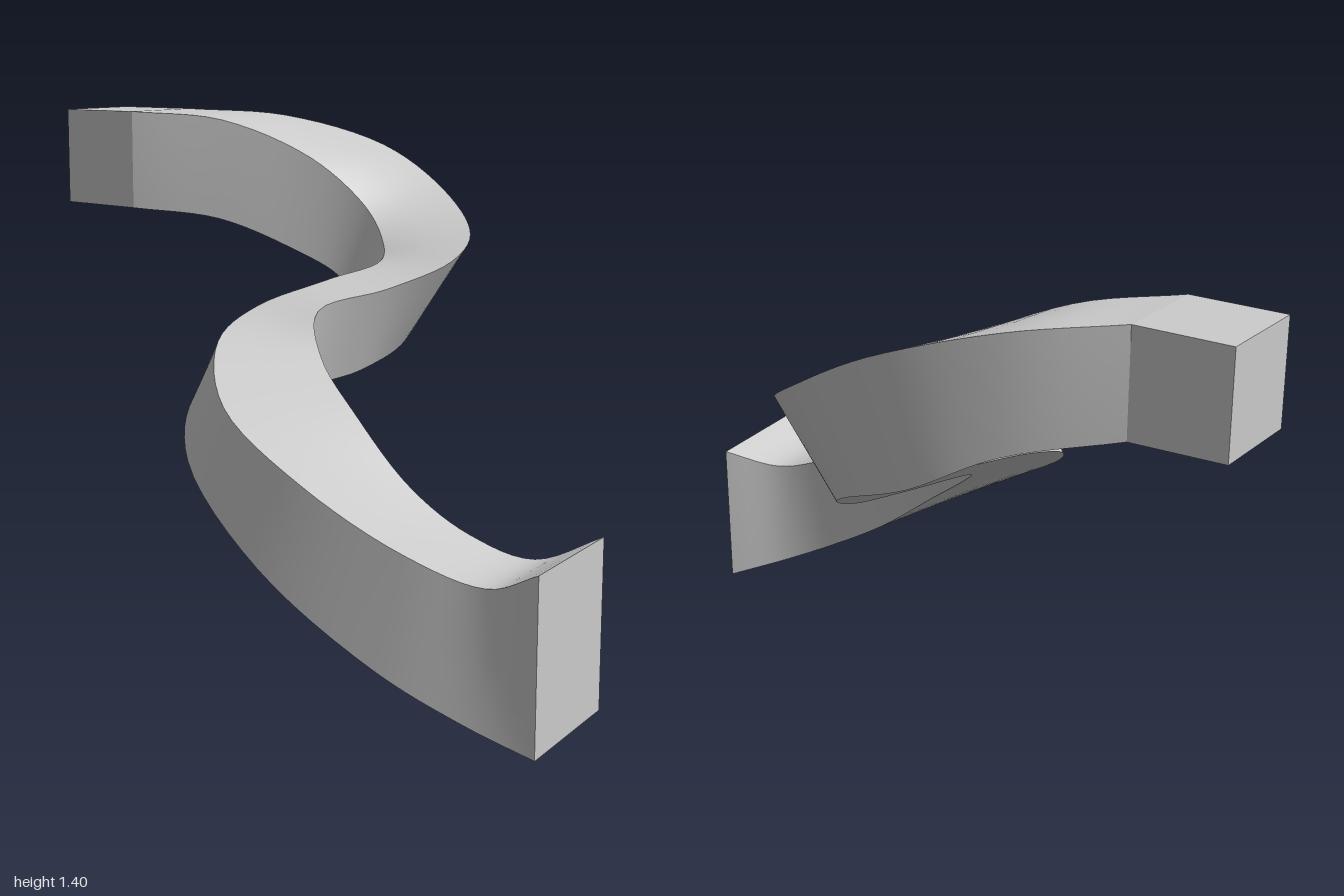
import * as THREE from 'three';

// The four corner rails of the twisting beam, from its upper end to its lower end.
const backTop = [
  [-0.97, 1.4, -0.48], [-0.71, 1.4, -0.46], [-0.45, 1.38, -0.61], [-0.15, 1.295, -0.695], [0.08, 1.17, -0.655],
  [0.24, 1.055, -0.52], [0.25, 0.99, -0.38], [0.16, 0.93, -0.17], [0.07, 0.89, 0.06], [0.15, 0.79, 0.18],
  [0.32, 0.67, 0.29], [0.53, 0.52, 0.375], [0.7, 0.43, 0.39], [0.86, 0.385, 0.36], [1, 0.44, 0.27]];
const backBottom = [
  [-0.97, 1.115, -0.48], [-0.71, 1.11, -0.46], [-0.44, 1.06, -0.59], [-0.22, 0.95, -0.645], [-0.02, 0.87, -0.61],
  [0.07, 0.79, -0.5], [0.09, 0.735, -0.38], [0.07, 0.69, -0.18], [0.01, 0.65, 0.09], [0.1, 0.56, 0.21],
  [0.27, 0.42, 0.33], [0.5, 0.24, 0.39], [0.7, 0.12, 0.4], [0.85, 0.05, 0.36], [1, 0, 0.27]];
const frontTop = [
  [-1, 1.4, -0.22], [-0.74, 1.4, -0.2], [-0.5, 1.375, -0.33], [-0.25, 1.265, -0.43], [-0.08, 1.13, -0.455],
  [0, 1.04, -0.42], [0.03, 0.985, -0.37], [-0.03, 0.945, -0.17], [-0.11, 0.895, 0.08], [-0.09, 0.83, 0.31],
  [0.06, 0.7, 0.51], [0.35, 0.555, 0.61], [0.65, 0.43, 0.635], [0.86, 0.38, 0.625], [1, 0.44, 0.65]];
const frontBottom = [
  [-1, 1.115, -0.22], [-0.74, 1.11, -0.2], [-0.5, 1.08, -0.31], [-0.28, 0.99, -0.39], [-0.15, 0.92, -0.42],
  [-0.09, 0.86, -0.4], [-0.06, 0.82, -0.33], [-0.07, 0.78, -0.17], [-0.155, 0.75, 0.08], [-0.165, 0.67, 0.32],
  [-0.06, 0.545, 0.5], [0.25, 0.34, 0.65], [0.6, 0.155, 0.69], [0.83, 0.06, 0.675], [1, 0, 0.65]];

// Sample a rail between two of its points.
function sampleRail(rail, from, to, steps) {
  const points = rail.slice(from, to + 1).map(p => new THREE.Vector3(...p));
  return new THREE.CatmullRomCurve3(points).getPoints(steps);
}

// Ruled surface between two sampled rails, smooth along its length.
function ruledSurface(a, b, across = 4) {
  const positions = [], indices = [];
  a.forEach((p, i) => {
    for (let j = 0; j <= across; j++) positions.push(...p.clone().lerp(b[i], j / across).toArray());
  });
  const row = across + 1;
  for (let i = 0; i < a.length - 1; i++) {
    for (let j = 0; j < across; j++) {
      const k = i * row + j;
      indices.push(k, k + 1, k + row + 1, k, k + row + 1, k + row);
    }
  }
  const geometry = new THREE.BufferGeometry();
  geometry.setAttribute('position', new THREE.Float32BufferAttribute(positions, 3));
  geometry.setIndex(indices);
  geometry.computeVertexNormals();
  return geometry;
}

export function createModel() {
  const group = new THREE.Group();
  group.name = 'twistedBeam';
  const material = new THREE.MeshStandardMaterial({ color: 0xcccccc });
  const add = (name, geometry) => {
    const mesh = new THREE.Mesh(geometry, material);
    mesh.name = name;
    group.add(mesh);
  };

  const rails = [backTop, frontTop, frontBottom, backBottom];
  const faces = ['TopFace', 'FrontFace', 'BottomFace', 'BackFace'];

  // Straight stub at the upper end, then the long winding body.
  for (const [part, from, to, steps] of [['stub', 0, 1, 1], ['body', 1, 14, 78]]) {
    const sampled = rails.map(rail => sampleRail(rail, from, to, steps));
    faces.forEach((face, i) => add(part + face, ruledSurface(sampled[i], sampled[(i + 1) % 4])));
  }

  // Flat end caps.
  const corner = (rail, i) => new THREE.Vector3(...rail[i]);
  const cap = (i, [a, b, c, d]) =>
    ruledSurface([corner(a, i), corner(d, i)], [corner(b, i), corner(c, i)], 1);
  add('upperEnd', cap(0, [backTop, backBottom, frontBottom, frontTop]));
  add('lowerEnd', cap(14, [backTop, frontTop, frontBottom, backBottom]));

  return group;
}
